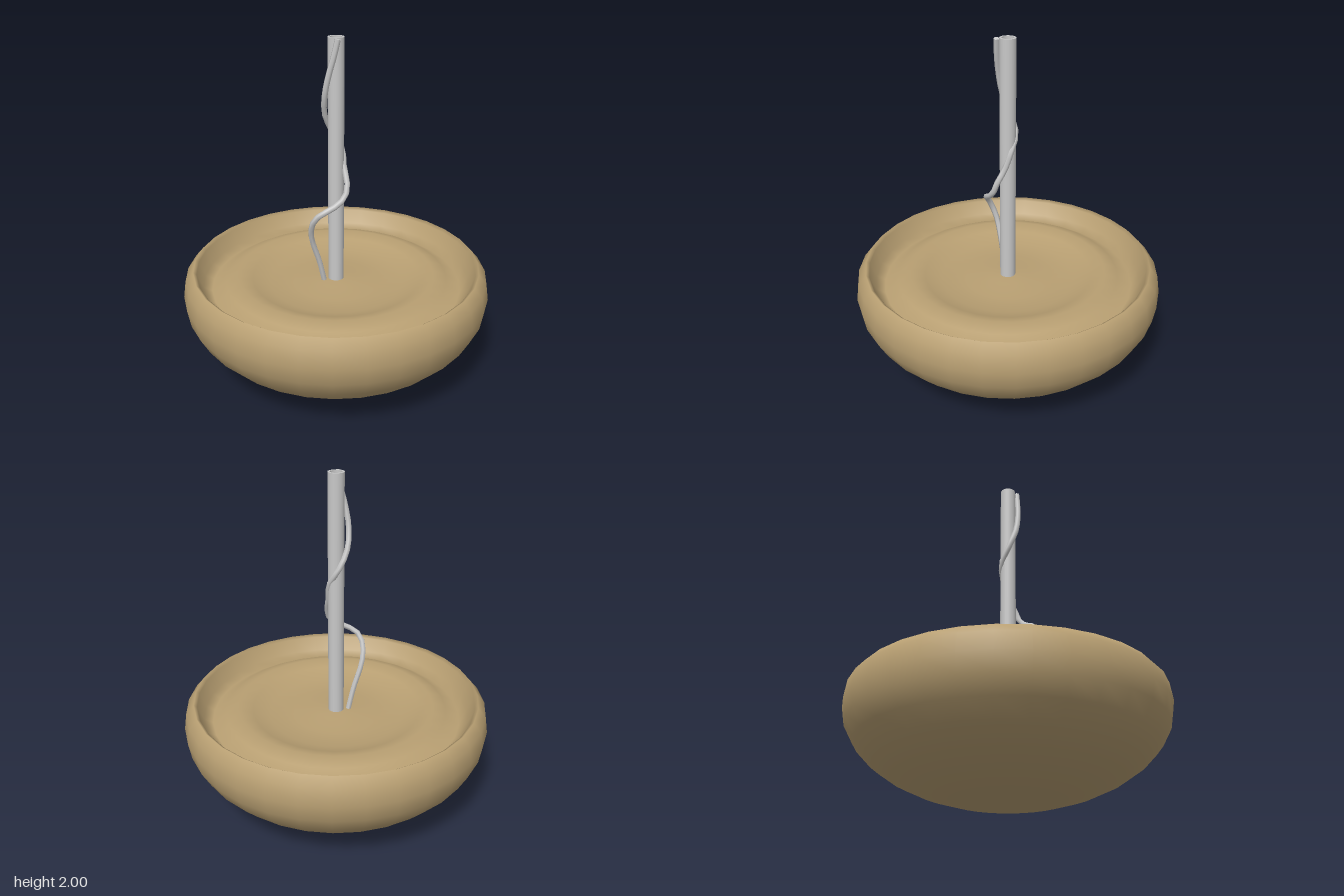
import * as THREE from 'three';

const bowlMaterial = new THREE.MeshStandardMaterial({ color: 0xb89f72 });
bowlMaterial.name = 'tan clay';
const metalMaterial = new THREE.MeshStandardMaterial({ color: 0xc8c8c8 });
metalMaterial.name = 'light grey metal';

const toPoints = (list) => list.map(([r, y]) => new THREE.Vector2(r, y));

export function createModel() {
  const group = new THREE.Group();
  const add = (name, geometry, material) => {
    const mesh = new THREE.Mesh(geometry, material);
    mesh.name = name;
    group.add(mesh);
  };

  // Bowl: half-ellipse outside, narrow rim, then a ringed dish inside
  const profile = [];
  for (let i = 0; i <= 8; i++) {
    const a = (i / 8) * Math.PI / 2;
    profile.push([0.907 * Math.sin(a), 0.51 - 0.51 * Math.cos(a)]);
  }
  profile.push([0.892, 0.61], [0.845, 0.665], [0.825, 0.65], [0.79, 0.565], [0.74, 0.535],
    [0.66, 0.58], [0.58, 0.605], [0.5, 0.58], [0.4, 0.545], [0.25, 0.54], [0.12, 0.555], [0, 0.56]);
  add('bowl', new THREE.LatheGeometry(toPoints(profile), 32), bowlMaterial);

  // Hollow pole, walls kept separate for sharp rim edges
  const poleWalls = [
    [[0.046, 0.53], [0.046, 2]],
    [[0.046, 2], [0.034, 2]],
    [[0.034, 2], [0.034, 0.53]],
  ];
  const poleNames = ['poleOuterWall', 'poleRim', 'poleInnerWall'];
  poleWalls.forEach((wall, i) =>
    add(poleNames[i], new THREE.LatheGeometry(toPoints(wall), 20), metalMaterial));

  // Wire winding loosely around the pole
  const path = new THREE.CatmullRomCurve3([
    [-0.055, 0.55, 0.05], [-0.07, 0.68, 0.08], [-0.096, 0.86, 0.135], [-0.075, 0.96, 0.165],
    [-0.03, 1.02, 0.165], [0.035, 1.06, 0.12], [0.078, 1.11, 0.055], [0.08, 1.18, 0.025],
    [0.045, 1.27, -0.01], [0.022, 1.37, -0.035], [-0.036, 1.46, -0.03], [-0.057, 1.57, 0.025],
    [-0.042, 1.68, 0.062], [-0.015, 1.8, 0.068], [0.012, 1.9, 0.06], [0.032, 1.995, 0.05],
  ].map((p) => new THREE.Vector3(...p)));
  add('windingWire', new THREE.TubeGeometry(path, 30, 0.017, 6, false), metalMaterial);

  // Flat caps closing the wire ends
  [0, 1].forEach((t) => {
    const cap = new THREE.CircleGeometry(0.017, 6);
    const direction = path.getTangent(t).multiplyScalar(t ? 1 : -1);
    cap.applyQuaternion(new THREE.Quaternion().setFromUnitVectors(new THREE.Vector3(0, 0, 1), direction));
    cap.translate(...path.getPoint(t).toArray());
    add(t ? 'wireTopCap' : 'wireBottomCap', cap, metalMaterial);
  });

  return group;
}
